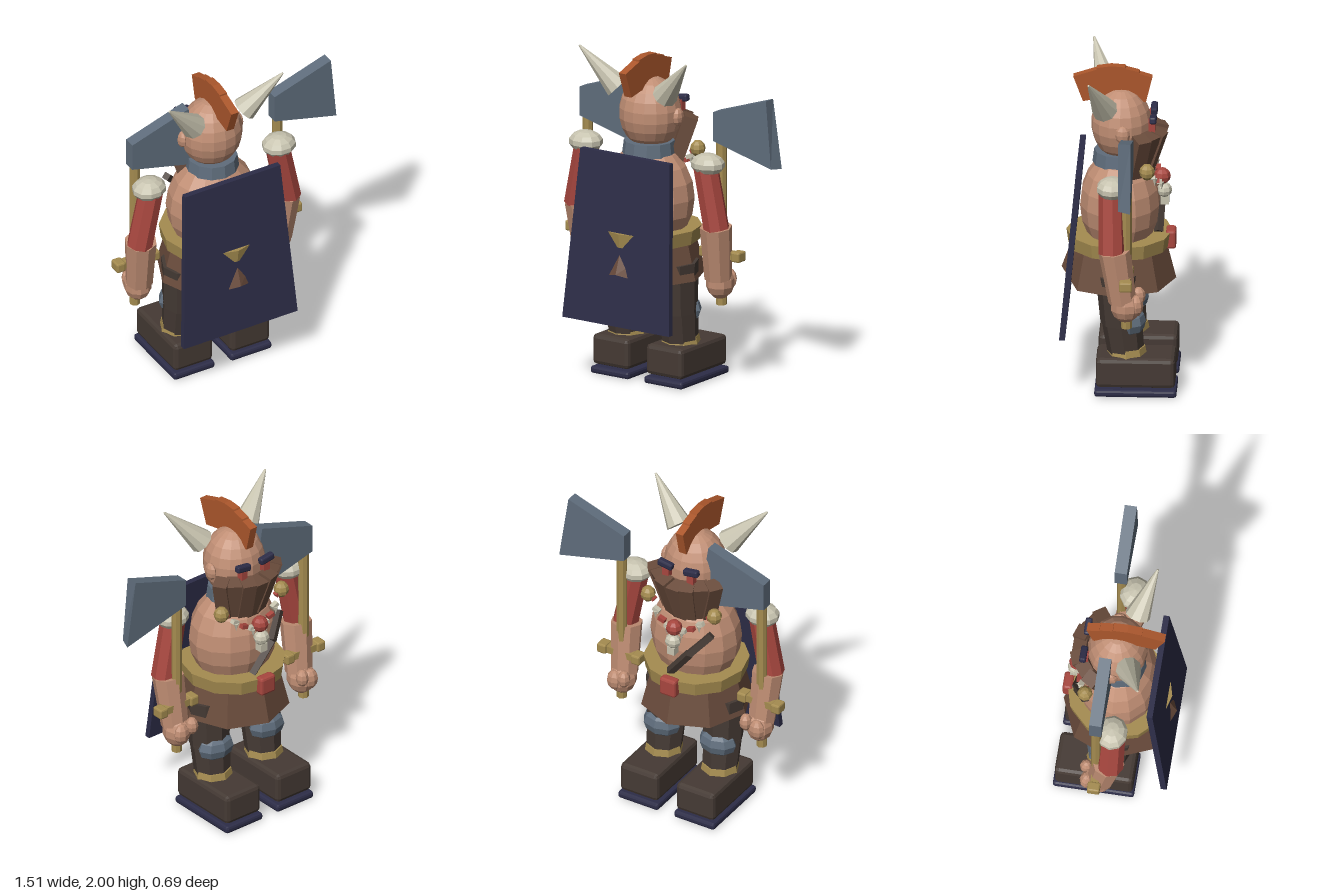
import * as THREE from 'three';
import { RoundedBoxGeometry } from 'three/addons/geometries/RoundedBoxGeometry.js';

const paint = (name, color) => new THREE.MeshStandardMaterial({ name, color, flatShading: true });
const V = (x, y, z) => new THREE.Vector3(x, y, z);

export function createModel() {
  const skin = paint('skin', 0xc08e74), navy = paint('navy', 0x2d2d48), red = paint('red', 0xa8473f);
  const bone = paint('bone', 0xc8c4b0), gold = paint('gold', 0xa58c50), leather = paint('leather', 0x6a4c3c);
  const dark = paint('darkLeather', 0x453a34), steel = paint('steel', 0x5f6d7c), orange = paint('orange', 0xac572c);

  const model = new THREE.Group();
  model.name = 'hornedWarrior';
  const body = new THREE.Group();
  body.name = 'body';
  body.position.x = -0.13;
  model.add(body);

  const add = (name, geo, mat, x = 0, y = 0, z = 0, parent = body) => {
    const m = new THREE.Mesh(geo, mat);
    m.name = name;
    m.position.set(x, y, z);
    parent.add(m);
    return m;
  };
  const box = (w, h, d) => new THREE.BoxGeometry(w, h, d);
  const ball = (rx, ry, rz, n = 10, k = 7) => new THREE.SphereGeometry(1, n, k).scale(rx, ry, rz);
  // Tapered rod from a to b
  const rod = (name, a, b, ra, rb, sides, mat, parent = body) => {
    const m = add(name, new THREE.CylinderGeometry(rb, ra, a.distanceTo(b), sides), mat, 0, 0, 0, parent);
    m.position.copy(a).lerp(b, 0.5);
    m.quaternion.setFromUnitVectors(V(0, 1, 0), b.clone().sub(a).normalize());
    return m;
  };

  // Head, neck and torso; the face looks toward -z
  add('head', ball(0.19, 0.22, 0.178, 16, 11), skin, 0, 1.61, -0.005);
  add('neck', new THREE.CylinderGeometry(0.15, 0.16, 0.08, 12), steel, 0, 1.405, 0.005);
  add('torso', ball(0.28, 0.32, 0.238, 14, 10), skin, 0, 1.11, 0.003);

  // Mohawk with a stepped crest
  const crest = new THREE.Shape([
    [0.22, 1.75], [0.277, 1.905], [0.14, 1.95], [0.14, 1.96], [0.055, 1.973], [-0.03, 1.967],
    [-0.033, 1.957], [-0.11, 1.938], [-0.112, 1.928], [-0.187, 1.905], [-0.15, 1.75], [0, 1.74], [0.12, 1.77],
  ].map(([z, y]) => new THREE.Vector2(z, y)));
  const crestGeo = new THREE.ExtrudeGeometry(crest, { depth: 0.05, bevelEnabled: false });
  add('mohawk', crestGeo.rotateY(-Math.PI / 2).translate(0.025, 0, 0), orange);

  // Beard: a fan of planks leaning outward at the top
  for (let i = -3; i <= 3; i++) {
    const fan = new THREE.Group();
    fan.name = 'beardPlankPivot';
    fan.position.y = 1.46 + (i === 0 ? -0.015 : 0);
    fan.rotation.y = i * 0.33;
    body.add(fan);
    const r = i % 2 ? 0.2 : 0.188;
    add('beardPlank', box(0.085, 0.27, 0.085), leather, 0, 0, -r, fan).rotation.x = -0.33;
  }

  // Waist: belt, buckle and skirt with a raised back point
  add('belt', new THREE.CylinderGeometry(0.312, 0.3, 0.085, 12, 1), gold, 0, 0.893, 0.006);
  add('buckle', new RoundedBoxGeometry(0.11, 0.115, 0.06, 1, 0.015), red, 0, 0.89, -0.297);
  const skirt = new THREE.CylinderGeometry(0.28, 0.335, 0.22, 8);
  const p = skirt.attributes.position;
  for (let i = 0; i < p.count; i++) {
    if (p.getY(i) < 0 && p.getZ(i) > 0.3) p.setXYZ(i, p.getX(i), -0.05, 0.338);
  }
  add('skirt', skirt, leather, 0, 0.745, 0.008);

  // Chest strap
  [[V(-0.21, 1.25, -0.165), V(-0.1, 1.12, -0.235)], [V(-0.1, 1.12, -0.235), V(0.04, 0.94, -0.225)]]
    .forEach(([a, b]) => rod('chestStrap', a, b, 0.028, 0.028, 4, dark));

  // Necklace of red beads and teeth, with a skull pendant
  for (let i = -4; i <= 4; i++) {
    const t = i / 4, x = t * 0.2, y = 1.255 + 0.12 * t * t, z = -0.235 + 0.07 * t * t;
    const bead = add('necklaceBead', box(0.045, 0.025, 0.03), i % 2 ? bone : red, x, y, z);
    bead.rotation.z = t * 0.6;
    if (i % 2) add('necklaceTooth', new THREE.ConeGeometry(0.016, 0.05, 5).rotateX(Math.PI), bone, x, y - 0.03, z - 0.012);
  }
  add('necklaceGem', ball(0.05, 0.05, 0.05, 8, 6), red, 0, 1.277, -0.245);
  add('skullPendant', ball(0.05, 0.045, 0.045, 8, 6), bone, 0, 1.19, -0.258);
  add('skullJaw', box(0.05, 0.05, 0.05), bone, 0, 1.13, -0.26);

  // Cape: a tapered slab hanging away from the back
  const cape = new THREE.Shape([[-0.385, 0.38], [0.385, 0.38], [0.322, 1.397], [-0.322, 1.397]]
    .map(([x, y]) => new THREE.Vector2(x, y)));
  const capeGeo = new THREE.ExtrudeGeometry(cape, { depth: 0.035, bevelEnabled: false });
  const c = capeGeo.attributes.position;
  for (let i = 0; i < c.count; i++) c.setZ(i, c.getZ(i) + 0.31 - (c.getY(i) - 0.38) * 0.093);
  add('cape', capeGeo, navy);

  // Paired parts
  for (const s of [-1, 1]) {
    // Head details
    add('ear', ball(0.028, 0.055, 0.045, 8, 6), skin, s * 0.19, 1.605, -0.02);
    rod('horn', V(s * 0.17, 1.755, 0.085), V(s * 0.385, 1.993, 0.172), 0.077, 0.006, 9, bone);
    add('brow', new RoundedBoxGeometry(0.1, 0.042, 0.04, 1, 0.01), navy, s * 0.088, 1.668, -0.195).rotation.z = s * 0.15;
    add('eye', box(0.045, 0.075, 0.04), red, s * 0.085, 1.625, -0.187);
    add('braidRing', ball(0.046, 0.05, 0.046, 8, 6), gold, s * 0.228, 1.39, -0.165);

    // Arm
    add('shoulderPad', ball(0.106, 0.066, 0.094, 10, 7), bone, s * 0.44, 1.37, 0.03);
    rod('upperArm', V(s * 0.425, 1.37, 0.035), V(s * 0.503, 0.98, 0.03), 0.075, 0.078, 8, red);
    rod('forearm', V(s * 0.472, 0.67, -0.03), V(s * 0.487, 0.995, 0.015), 0.082, 0.096, 8, skin);
    add('hand', ball(0.083, 0.1, 0.09, 10, 7), skin, s * 0.472, 0.64, -0.05);
    add('thumb', ball(0.038, 0.055, 0.04, 8, 6), skin, s * 0.42, 0.685, -0.125);
    add('knuckles', ball(0.05, 0.065, 0.04, 8, 6), skin, s * 0.49, 0.65, -0.115);

    // Leg and boot
    const x = s * 0.193;
    rod('thigh', V(x, 0.43, -0.01), V(x, 0.74, 0.005), 0.12, 0.135, 8, dark);
    rod('shin', V(x, 0.2, -0.045), V(x, 0.45, -0.015), 0.105, 0.12, 8, dark);
    add('kneePad', ball(0.122, 0.09, 0.09, 8, 6), steel, x, 0.435, -0.068);
    add('ankleCuff', new THREE.CylinderGeometry(0.108, 0.12, 0.06, 8), gold, x, 0.25, -0.045);
    add('boot', new RoundedBoxGeometry(0.262, 0.185, 0.465, 1, 0.025), dark, x, 0.147, -0.1);
    add('sole', new RoundedBoxGeometry(0.277, 0.045, 0.482, 1, 0.015), navy, x, 0.0225, -0.1);
  }

  // Axes: both blades point toward +x
  const blade = new THREE.Shape([[-0.037, 1.5], [0.408, 1.385], [0.345, 1.802], [-0.037, 1.675]]
    .map(([x, y]) => new THREE.Vector2(x, y)));
  const bladeGeo = new THREE.ExtrudeGeometry(blade, { depth: 0.073, bevelEnabled: false });
  const q = bladeGeo.attributes.position;
  for (let i = 0; i < q.count; i++) { // bevel the lower cutting corner
    if (q.getX(i) > 0.4 && q.getZ(i) > 0.01) q.setXY(i, 0.382, 1.392);
  }
  for (const x of [0.347, -0.617]) {
    const axe = new THREE.Group();
    axe.name = 'axe';
    axe.position.x = x;
    model.add(axe);
    add('axeShaft', new THREE.CylinderGeometry(0.032, 0.032, 1.13, 8), gold, 0, 1.07, -0.055, axe);
    add('axeBlade', bladeGeo, steel, 0, 0, -0.094, axe);
    add('axeGuard', box(0.24, 0.045, 0.05), gold, 0.008, 0.815, -0.055, axe);
    for (const e of [-1, 1]) {
      add('guardCap', new RoundedBoxGeometry(0.06, 0.062, 0.075, 1, 0.01), gold, 0.006 + e * 0.116, 0.815, -0.055, axe);
    }
  }
  return model;
}
